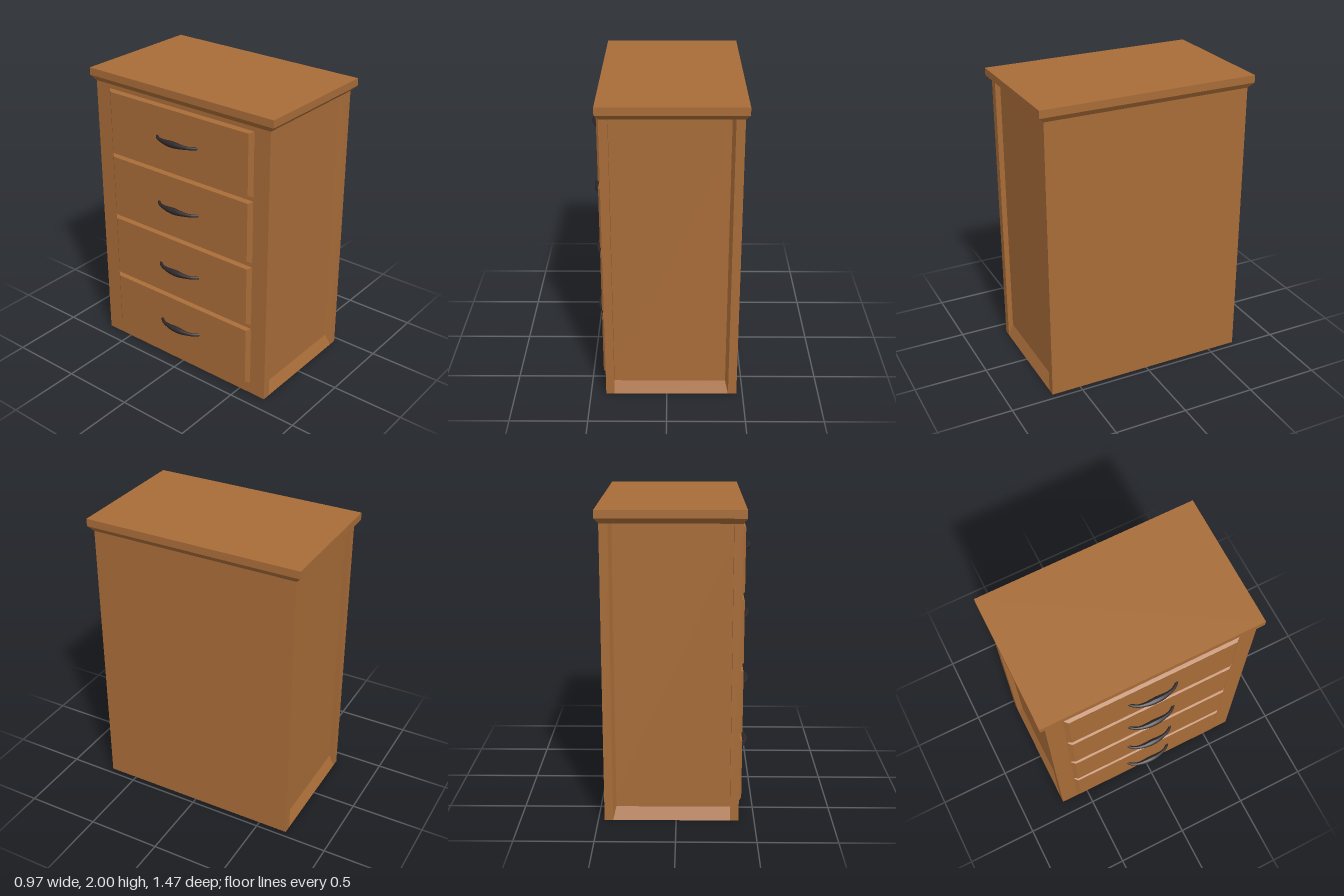
import * as THREE from 'three';

export function createModel() {
  const wood = new THREE.MeshStandardMaterial({ color: 0xa86c38 });
  wood.name = 'warm wood';
  const iron = new THREE.MeshStandardMaterial({ color: 0x2e282a });
  iron.name = 'dark iron';

  const model = new THREE.Group();
  model.name = 'chestOfDrawers';

  const add = (name, geometry, material = wood) => {
    const mesh = new THREE.Mesh(geometry, material);
    mesh.name = name;
    model.add(mesh);
    return mesh;
  };

  // Box from its limits
  const block = (x0, x1, y0, y1, z0, z1) =>
    new THREE.BoxGeometry(x1 - x0, y1 - y0, z1 - z0)
      .translate((x0 + x1) / 2, (y0 + y1) / 2, (z0 + z1) / 2);

  // Move vertices by a rule and refresh the face normals
  const reshape = (geometry, rule) => {
    const p = geometry.attributes.position;
    const v = new THREE.Vector3();
    for (let i = 0; i < p.count; i++) {
      v.fromBufferAttribute(p, i);
      rule(v);
      p.setXYZ(i, v.x, v.y, v.z);
    }
    geometry.computeVertexNormals();
    return geometry;
  };

  // Carcass between the recessed end panels
  const X0 = -0.4, X1 = 0.46, Z = 0.7, INNER = 0.665, TOP = 1.915;
  add('carcass', block(X0, X1, 0, TOP, -INNER, INNER));

  // Frames around the end panels: square stile, bevelled stile, sloping sill
  for (const s of [1, -1]) {
    const za = s > 0 ? INNER : -Z;
    const zb = s > 0 ? Z : -INNER;
    const outside = (v) => Math.abs(v.z) > (INNER + Z) / 2;
    add('drawerSideStile', block(X0, -0.345, 0, TOP, za, zb));
    add('backStile', reshape(block(0.385, X1, 0, TOP, za, zb), (v) => {
      if (outside(v) && v.x < 0.4) v.x = 0.405;
    }));
    add('sill', reshape(block(-0.345, 0.405, 0, 0.08, za, zb), (v) => {
      if (outside(v)) v.y = 0;
    }));
  }

  // Top with a sloping moulding below
  const slab = { x0: -0.422, x1: 0.485, z: 0.735 };
  add('topSlab', block(slab.x0, slab.x1, 1.95, 2, -slab.z, slab.z));
  add('topMoulding', reshape(block(slab.x0, slab.x1, TOP, 1.95, -slab.z, slab.z), (v) => {
    if (v.y < 1.93) {
      v.x = v.x < 0 ? X0 : X1;
      v.z = Math.sign(v.z) * Z;
    }
  }));

  // Bow-shaped handle, thicker in the middle
  const path = new THREE.CatmullRomCurve3([
    [-0.41, -0.167], [-0.427, -0.157], [-0.453, -0.118], [-0.466, -0.06], [-0.468, 0],
    [-0.466, 0.06], [-0.453, 0.118], [-0.427, 0.157], [-0.41, 0.167],
  ].map(([x, z]) => new THREE.Vector3(x, 0, z)));
  const rings = 28, sides = 10;
  const handleGeometry = new THREE.TubeGeometry(path, rings, 1, sides, false);
  const centre = new THREE.Vector3();
  let index = 0;
  reshape(handleGeometry, (v) => {
    const t = Math.floor(index++ / (sides + 1)) / rings;
    path.getPointAt(t, centre);
    const radius = 0.01 + 0.011 * Math.sin(Math.PI * t) ** 4;
    v.sub(centre).multiplyScalar(radius).add(centre);
  });

  // Four bevelled drawer fronts with handles
  [0.295, 0.755, 1.215, 1.672].forEach((y, i) => {
    const front = reshape(block(-0.423, X0 + 0.001, y - 0.215, y + 0.215, -0.585, 0.585), (v) => {
      if (v.x < -0.41) {
        v.y -= Math.sign(v.y - y) * 0.014;
        v.z -= Math.sign(v.z) * 0.027;
      }
    });
    add('drawerFront' + (i + 1), front);
    add('handle' + (i + 1), handleGeometry, iron).position.y = [0.295, 0.745, 1.205, 1.67][i];
  });

  return model;
}
